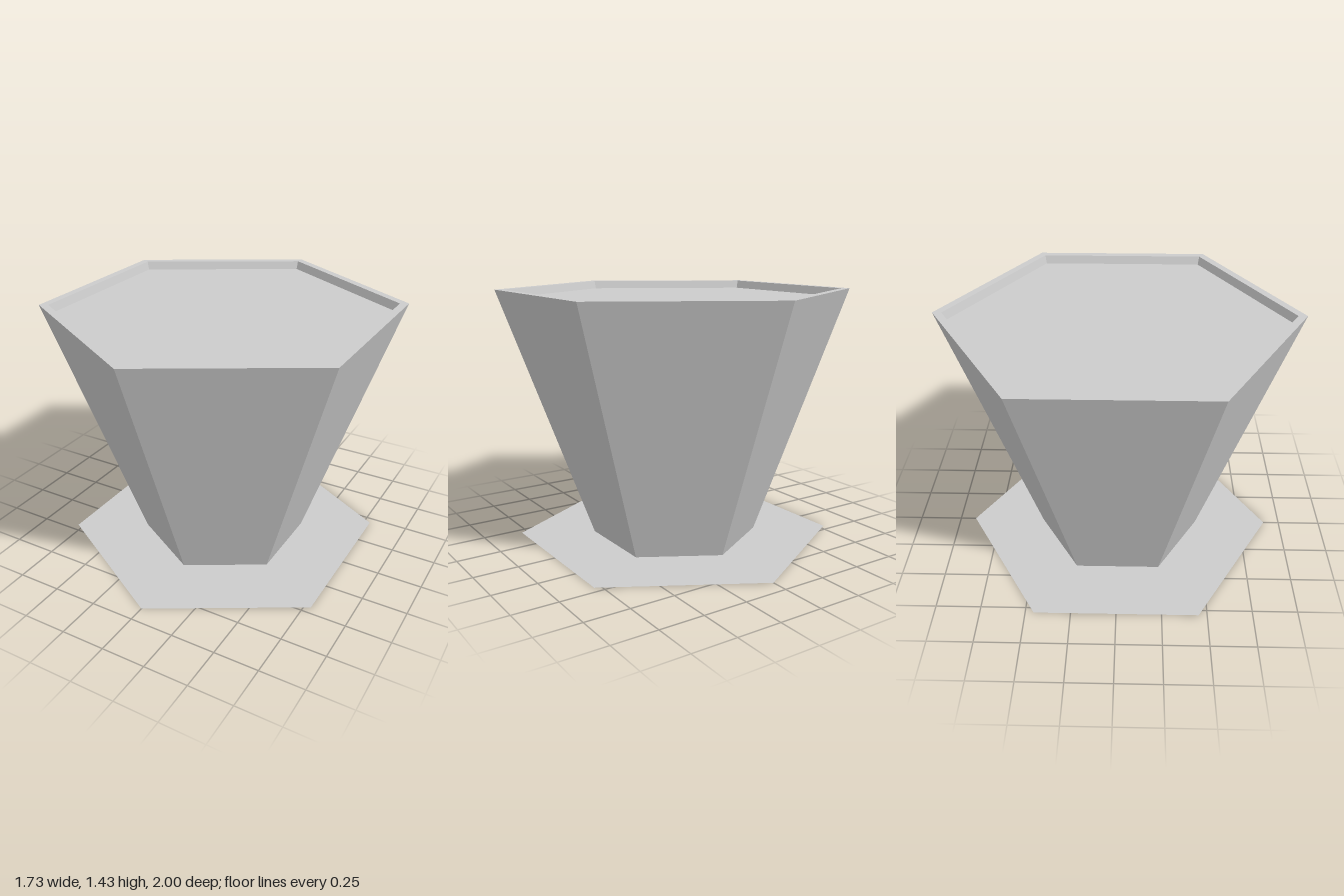
import * as THREE from 'three';

const SIDES = 6;

export function createModel() {
  const group = new THREE.Group();
  const material = new THREE.MeshStandardMaterial({ color: 0xcccccc, flatShading: true });

  // Tapered hexagonal pot: outer wall, rim, short inner wall, recessed surface
  const profile = [
    [0.477, 0], [1, 1.43], [0.95, 1.43], [0.934, 1.384], [0, 1.384],
  ].map(([r, y]) => new THREE.Vector2(r, y));
  const pot = new THREE.Mesh(new THREE.LatheGeometry(profile, SIDES), material);
  pot.name = 'pot';
  group.add(pot);

  // Paper-thin hexagonal base plate, corners lined up with the pot
  const plateMaterial = material.clone();
  plateMaterial.side = THREE.DoubleSide;
  const plateGeometry = new THREE.CircleGeometry(0.907, SIDES, Math.PI / 2);
  plateGeometry.rotateX(-Math.PI / 2);
  const plate = new THREE.Mesh(plateGeometry, plateMaterial);
  plate.name = 'basePlate';
  group.add(plate);

  return group;
}
